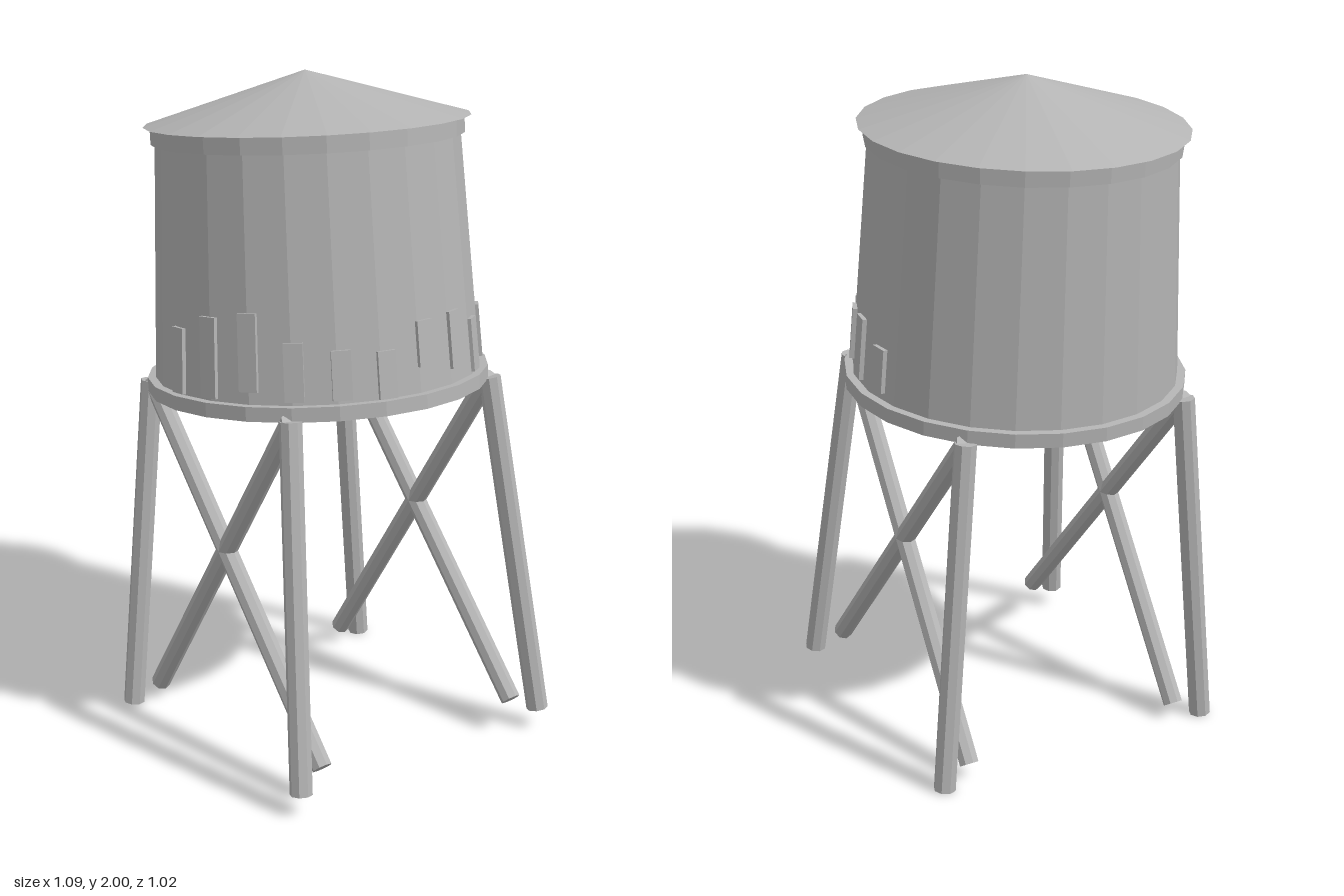
import * as THREE from 'three';

export function createModel() {
  const model = new THREE.Group();
  model.name = 'waterTower';
  const grey = new THREE.MeshStandardMaterial({ color: 0xb4b4b4, flatShading: true });
  grey.name = 'weathered grey';

  // The whole tower leans sideways
  const tower = new THREE.Group();
  tower.name = 'leaningTower';
  tower.position.x = 0.06;
  tower.rotation.z = 0.07;
  model.add(tower);

  const add = (name, geometry) => {
    const mesh = new THREE.Mesh(geometry, grey);
    mesh.name = name;
    tower.add(mesh);
    return mesh;
  };

  // Upright 24-sided drum between two heights
  const drum = (name, rTop, rBottom, y0, y1) => {
    add(name, new THREE.CylinderGeometry(rTop, rBottom, y1 - y0, 24)).position.y = (y0 + y1) / 2;
  };

  // Round pole between two points
  const pole = (name, from, to, radius) => {
    const a = new THREE.Vector3(...from), b = new THREE.Vector3(...to);
    const dir = b.clone().sub(a);
    const mesh = add(name, new THREE.CylinderGeometry(radius, radius, dir.length(), 8));
    mesh.position.copy(a).add(b).multiplyScalar(0.5);
    mesh.quaternion.setFromUnitVectors(new THREE.Vector3(0, 1, 0), dir.normalize());
  };

  // Tank, rims and conical roof
  drum('basePlate', 0.509, 0.509, 1.085, 1.127);
  drum('tank', 0.445, 0.485, 1.12, 1.82);
  drum('topRim', 0.457, 0.457, 1.813, 1.862);
  const roof = add('roof', new THREE.ConeGeometry(0.477, 0.142, 24));
  roof.position.y = 1.934;

  // Splayed legs, with crossed braces on the front and back
  for (const z of [1, -1]) {
    for (const x of [1, -1]) {
      pole('leg', [x * 0.45, 0.037, z * 0.453], [x * 0.36, 1.09, z * 0.365], 0.033);
      pole('brace', [x * 0.43, 0.083, z * 0.362], [x * -0.36, 1.09, z * 0.362], 0.03);
    }
  }

  // Uneven planks around one side of the tank: [centre height, length]
  const planks = [
    [1.225, 0.19], [1.25, 0.23], [1.273, 0.22], [1.22, 0.165], [1.207, 0.14],
    [1.196, 0.135], [1.266, 0.13], [1.253, 0.165], [1.212, 0.155], [1.228, 0.155],
    [1.235, 0.155], [1.235, 0.185], [1.215, 0.13],
  ];
  planks.forEach(([y, length], i) => {
    const angle = THREE.MathUtils.degToRad(91 - 15.6 * i);
    const radius = 0.485 - (y - 1.12) * 0.057;
    const plank = add('plank', new THREE.BoxGeometry(0.055, length, 0.018));
    plank.position.set(radius * Math.cos(angle), y, radius * Math.sin(angle));
    plank.rotation.order = 'YXZ';
    plank.rotation.set(-0.057, Math.PI / 2 - angle, 0);
  });

  return model;
}
